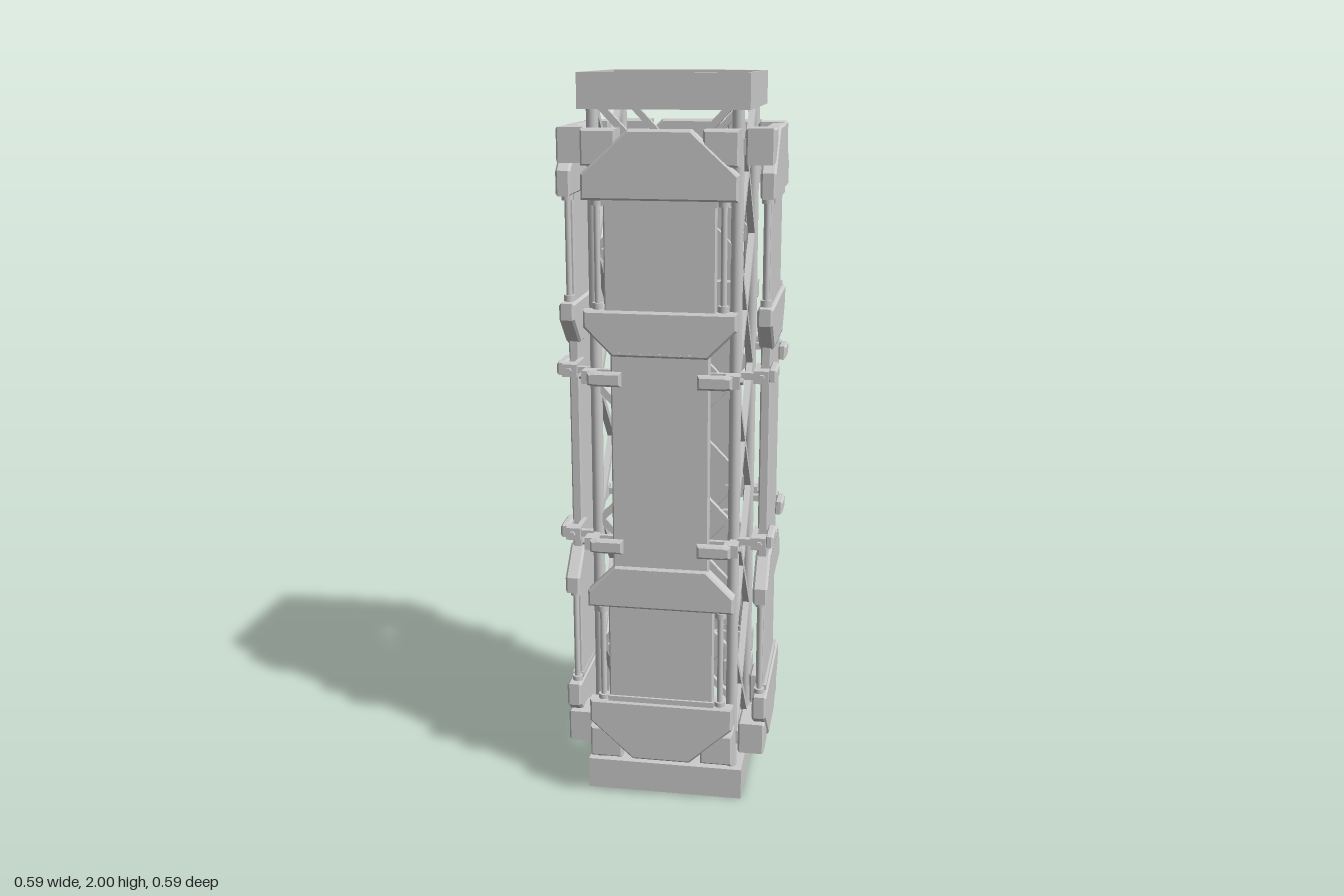
import * as THREE from 'three';

const mat = new THREE.MeshStandardMaterial({ color: 0xcccccc, flatShading: true });
const smooth = new THREE.MeshStandardMaterial({ color: 0xcccccc });

function add(parent, name, geo, x = 0, y = 0, z = 0, m = mat) {
  const mesh = new THREE.Mesh(geo, m);
  mesh.name = name;
  mesh.position.set(x, y, z);
  parent.add(mesh);
  return mesh;
}

// box given by its limits on each axis
function box(parent, name, x0, x1, y0, y1, z0, z1) {
  return add(parent, name, new THREE.BoxGeometry(Math.abs(x1 - x0), Math.abs(y1 - y0), Math.abs(z1 - z0)),
    (x0 + x1) / 2, (y0 + y1) / 2, (z0 + z1) / 2);
}

// bevelled plate in the xy plane, from z0 to z1
function plate(parent, name, points, z0, z1, bevel = 0.006) {
  const shape = new THREE.Shape(points.map(p => new THREE.Vector2(...p)));
  const geo = new THREE.ExtrudeGeometry(shape, {
    depth: z1 - z0 - 2 * bevel, bevelEnabled: true, bevelSegments: 1,
    bevelSize: bevel, bevelOffset: -bevel, bevelThickness: bevel,
  });
  return add(parent, name, geo, 0, 0, z0 + bevel);
}

// square bar between two points
function bar(parent, name, a, b, w) {
  const d = b.clone().sub(a);
  const mesh = add(parent, name, new THREE.BoxGeometry(w, d.length(), w));
  mesh.position.copy(a).add(b).multiplyScalar(0.5);
  mesh.quaternion.setFromUnitVectors(new THREE.Vector3(0, 1, 0), d.normalize());
}

// symmetric outline, from its right-hand points; s = -1 turns it upside down about y = 1
function outline(right, s) {
  const pts = right.map(([x, y]) => [x, 1 + s * (y - 1)]);
  return [...pts, ...pts.map(([x, y]) => [-x, y]).reverse()];
}

// end tray: floor plate with four upright walls
function tray(parent, s) {
  const g = new THREE.Group();
  g.name = s > 0 ? 'topTray' : 'bottomTray';
  const Y = y => 1 + s * (y - 1);
  box(g, 'trayFloor', -0.215, 0.215, Y(1.91), Y(1.925), -0.215, 0.215);
  for (let i = 0; i < 4; i++) {
    const wall = new THREE.Group();
    wall.rotation.y = i * Math.PI / 2;
    box(wall, 'trayWall', -0.22, 0.22, Y(1.91), Y(2), 0.211, 0.22);
    g.add(wall);
  }
  parent.add(g);
}

// one face of the tower: crossed bracing and an armoured panel
function side() {
  const g = new THREE.Group();

  // crossed bracing in five bays
  const bays = 5, y0 = 0.07, step = (1.93 - y0) / bays;
  for (let i = 0; i < bays; i++) {
    for (const s of [-1, 1]) {
      bar(g, 'brace', new THREE.Vector3(-s * 0.178, y0 + i * step, 0.187),
        new THREE.Vector3(s * 0.178, y0 + (i + 1) * step, 0.187), 0.018);
    }
  }

  plate(g, 'middlePanel', outline([[0.13, 1.3], [0.13, 0.7]], 1), 0.247, 0.275, 0.004);

  for (const s of [-1, 1]) {
    const Y = y => 1 + s * (y - 1);
    // framed panel with chamfered caps at both ends
    plate(g, 'endPanel', outline([[0.145, 1.68], [0.145, 1.4]], s), 0.25, 0.273, 0.004);
    box(g, 'panelRail', -0.148, 0.148, Y(1.676), Y(1.692), 0.248, 0.28);
    plate(g, 'outerCap', outline([[0.08, 1.865], [0.2, 1.755], [0.2, 1.69]], s), 0.245, 0.285);
    plate(g, 'innerCap', outline([[0.2, 1.41], [0.2, 1.365], [0.125, 1.29]], s), 0.242, 0.283);

    for (const m of [-1, 1]) {
      // corner block with a strut to the post
      plate(g, 'cornerBlock', [[m * 0.11, Y(1.865)], [m * 0.2, Y(1.865)],
        [m * 0.2, Y(1.775)], [m * 0.11, Y(1.775)]], 0.207, 0.281, 0.005);
      box(g, 'blockStrut', m * 0.175, m * 0.195, Y(1.8), Y(1.84), 0.185, 0.21);

      // rod with collars beside the panel
      add(g, 'sideRod', new THREE.CylinderGeometry(0.008, 0.008, 0.32, 12), m * 0.163, Y(1.55), 0.262, smooth);
      for (const y of [1.685, 1.42]) {
        add(g, 'rodCollar', new THREE.CylinderGeometry(0.015, 0.015, 0.016, 12), m * 0.163, Y(y), 0.262, smooth);
      }

      // clamp around the edge of the middle panel, tied to the post
      plate(g, 'clampFace', [[m * 0.1, Y(1.212)], [m * 0.17, Y(1.212)], [m * 0.19, Y(1.215)],
        [m * 0.19, Y(1.247)], [m * 0.17, Y(1.25)], [m * 0.1, Y(1.25)]], 0.272, 0.296, 0.006);
      box(g, 'clampBack', m * 0.11, m * 0.2, Y(1.214), Y(1.248), 0.236, 0.25);
      box(g, 'clampEnd', m * 0.17, m * 0.208, Y(1.214), Y(1.248), 0.236, 0.276);
      box(g, 'clampLink', m * 0.18, m * 0.197, Y(1.222), Y(1.24), 0.19, 0.24);
      add(g, 'clampBolt', new THREE.CylinderGeometry(0.009, 0.009, 0.012, 6).rotateZ(Math.PI / 2),
        m * 0.21, Y(1.231), 0.258);
    }

    // row of small rivets along the inner cap
    for (let i = -4; i <= 4; i++) {
      box(g, 'rivet', i * 0.026 - 0.003, i * 0.026 + 0.003, Y(1.296), Y(1.302), 0.28, 0.285);
    }
  }
  return g;
}

export function createModel() {
  const model = new THREE.Group();
  model.name = 'trussTower';

  tray(model, 1);
  tray(model, -1);

  // corner posts
  for (const x of [-0.187, 0.187]) {
    for (const z of [-0.187, 0.187]) {
      add(model, 'cornerPost', new THREE.CylinderGeometry(0.016, 0.016, 1.83, 16), x, 1, z, smooth);
    }
  }

  // four identical faces
  ['frontSide', 'leftSide', 'backSide', 'rightSide'].forEach((name, i) => {
    const g = side();
    g.name = name;
    g.rotation.y = i * Math.PI / 2;
    model.add(g);
  });
  return model;
}
